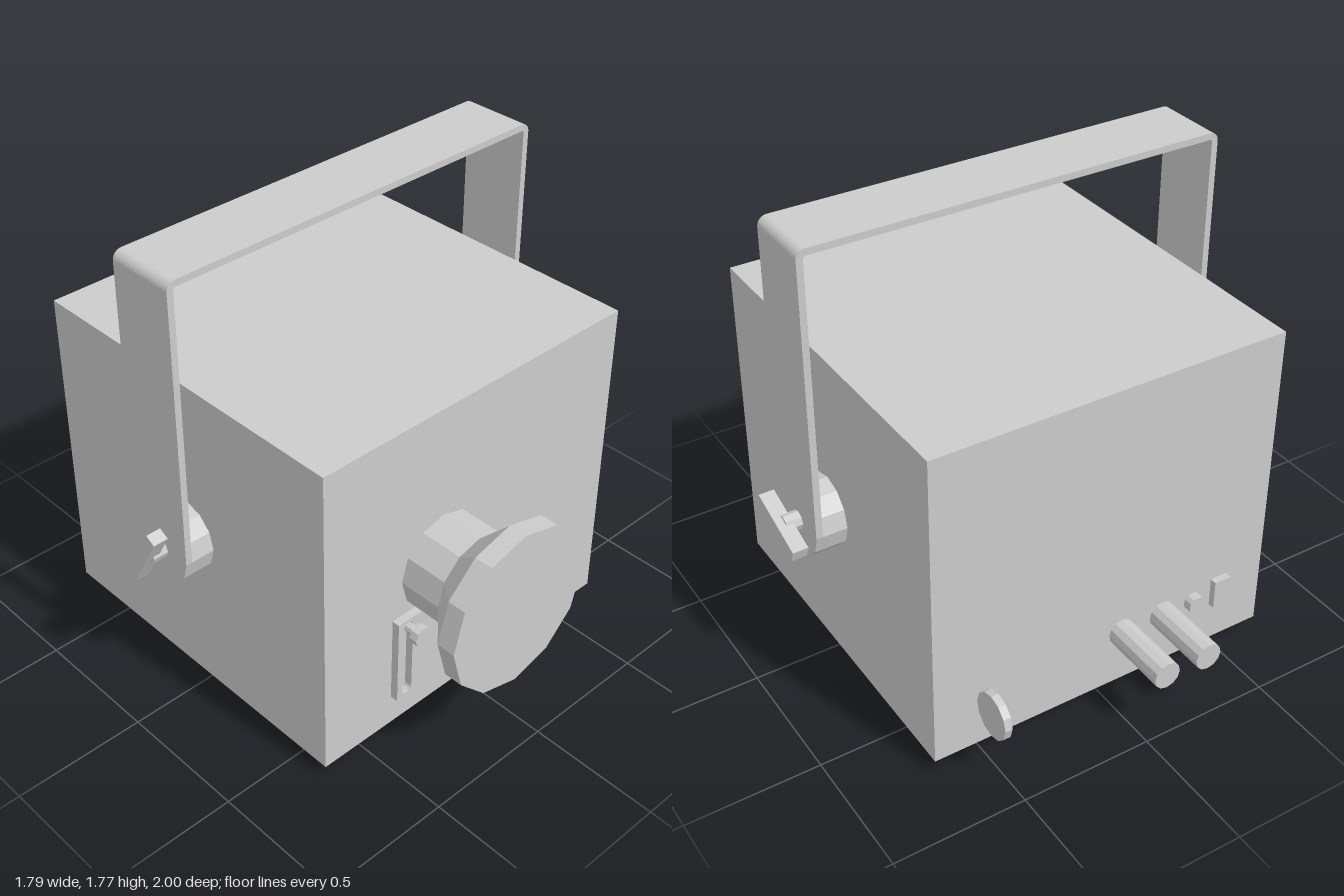
import * as THREE from 'three';

const material = new THREE.MeshStandardMaterial({ color: 0xcccccc, flatShading: true });

export function createModel() {
  const model = new THREE.Group();

  const add = (name, geometry, x = 0, y = 0, z = 0, parent = model) => {
    const mesh = new THREE.Mesh(geometry, material);
    mesh.name = name;
    mesh.position.set(x, y, z);
    parent.add(mesh);
    return mesh;
  };
  const box = (w, h, d) => new THREE.BoxGeometry(w, h, d);
  // Cylinders lying along z or x
  const rodZ = (r, length, sides = 12) => new THREE.CylinderGeometry(r, r, length, sides).rotateX(Math.PI / 2);
  const rodX = (r, length, sides = 12) => new THREE.CylinderGeometry(r, r, length, sides).rotateZ(-Math.PI / 2);

  // Housing
  const front = 0.645, back = -0.735;
  add('housing', box(1.376, 1.24, front - back), 0, 0.67, (front + back) / 2);

  // Tapered feet
  for (const x of [-0.556, 0.556])
    for (const z of [0.515, -0.598])
      add('foot', new THREE.CylinderGeometry(0.097, 0.08, 0.05, 12), x, 0.025, z);

  // Flared lens barrel
  const lensProfile = [[0, 0.6], [0.185, 0.6], [0.185, 0.81], [0.31, 0.93], [0.31, 1], [0, 1]]
    .map(([r, z]) => new THREE.Vector2(r, z));
  add('lensBarrel', new THREE.LatheGeometry(lensProfile, 12).rotateX(Math.PI / 2), -0.155, 0.67, 0);

  // Slotted adjustment plate
  const plate = new THREE.Shape();
  plate.moveTo(-0.38, 0.173);
  plate.lineTo(0.155, 0.173);
  plate.lineTo(0.155, 0.523);
  plate.lineTo(-0.38, 0.523);
  plate.closePath();
  const slotXs = [-0.333, 0.111];
  for (const x of slotXs) {
    const slot = new THREE.Path();
    slot.absarc(x, 0.206, 0.021, Math.PI, 2 * Math.PI, false);
    slot.absarc(x, 0.49, 0.021, 0, Math.PI, false);
    slot.closePath();
    plate.holes.push(slot);
  }
  add('adjustmentPlate', new THREE.ExtrudeGeometry(plate, { depth: 0.03, bevelEnabled: false, curveSegments: 6 }), 0, 0, front);

  // Thumbscrews in the slots
  for (const x of slotXs) {
    add('thumbscrewShaft', rodZ(0.018, 0.09, 8), x, 0.49, 0.685);
    add('thumbscrewHead', rodZ(0.037, 0.032, 8), x, 0.49, 0.729);
  }

  // Carrying bracket: a bent strap with rounded corners
  const pivotY = 0.67, pivotZ = -0.042, outer = 0.806, top = 1.767, t = 0.025, r = 0.035;
  const strap = new THREE.Shape();
  strap.moveTo(-outer, pivotY);
  strap.lineTo(-outer + t, pivotY);
  strap.absarc(-outer + r, top - r, r - t, Math.PI, Math.PI / 2, true);
  strap.absarc(outer - r, top - r, r - t, Math.PI / 2, 0, true);
  strap.lineTo(outer - t, pivotY);
  strap.lineTo(outer, pivotY);
  strap.absarc(outer - r, top - r, r, 0, Math.PI / 2, false);
  strap.absarc(-outer + r, top - r, r, Math.PI / 2, Math.PI, false);
  strap.closePath();
  add('bracket', new THREE.ExtrudeGeometry(strap, { depth: 0.266, bevelEnabled: false, curveSegments: 4 }), 0, 0, pivotZ - 0.133);

  // Pivots and wing knobs on both sides; tilt turns the wing about x
  for (const [side, tilt] of [[1, -0.33], [-1, -1.07]]) {
    const pivot = new THREE.Group();
    pivot.name = side > 0 ? 'leftPivot' : 'rightPivot';
    pivot.position.set(0, pivotY, pivotZ);
    add('pivotBoss', rodX(0.133, 0.125), side * 0.743, 0, 0, pivot);
    add('knobShaft', rodX(0.035, 0.07, 8), side * 0.83, 0, 0, pivot);
    add('knobWing', box(0.058, 0.045, 0.264), side * 0.866, 0, 0, pivot).rotation.x = tilt;
    model.add(pivot);
  }

  // Rear controls and connectors
  for (const x of [-0.245, -0.07]) add('rearTube', rodZ(0.052, 0.265), x, 0.27, -0.8675);
  add('rearButton', rodZ(0.034, 0.034), -0.378, 0.27, back - 0.017);
  add('rearSwitch', box(0.068, 0.115, 0.026), -0.495, 0.272, back - 0.013);
  add('rearDisc', rodX(0.087, 0.028), 0.52, 0.268, -0.843);

  return model;
}
